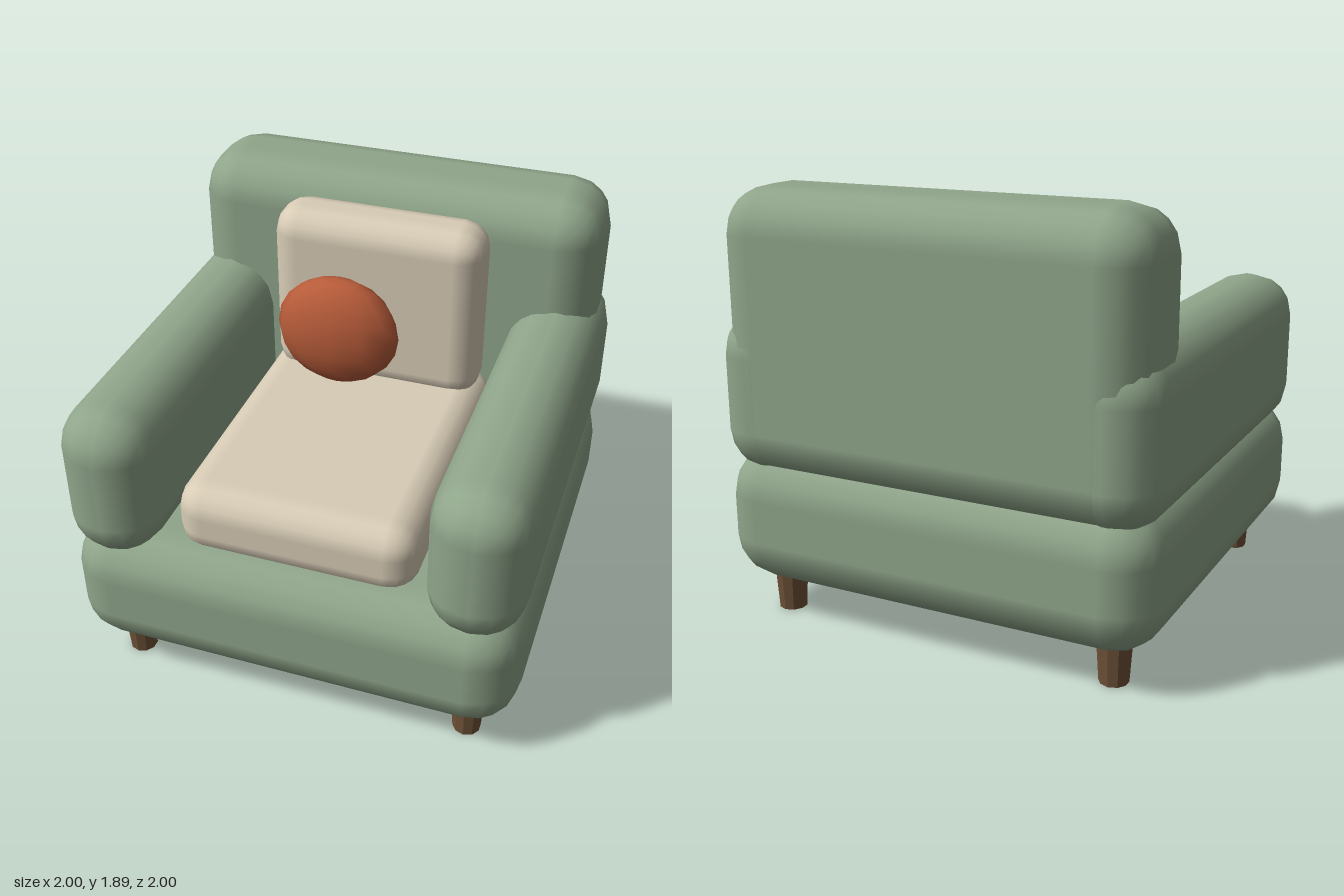
import * as THREE from 'three';
import { RoundedBoxGeometry } from 'three/addons/geometries/RoundedBoxGeometry.js';

const material = (color, flatShading = false) => new THREE.MeshStandardMaterial({ color, flatShading });

// Padded block given by its [min, max] extent on each axis
function pad(name, [x0, x1], [y0, y1], [z0, z1], radius, mat) {
  const mesh = new THREE.Mesh(new RoundedBoxGeometry(x1 - x0, y1 - y0, z1 - z0, 2, radius), mat);
  mesh.position.set((x0 + x1) / 2, (y0 + y1) / 2, (z0 + z1) / 2);
  mesh.name = name;
  return mesh;
}

export function createModel() {
  const group = new THREE.Group();
  group.name = 'armchair';
  const green = material(0x8fa58a);
  const cream = material(0xd8ccb6);
  const orange = material(0xb85c3a);
  const wood = material(0x6f5238, true);

  // Upholstered frame
  group.add(pad('base', [-1, 1], [0.16, 0.765], [-1, 1], 0.21, green));
  group.add(pad('backrest', [-0.955, 0.955], [0.66, 1.89], [-1, -0.47], 0.2, green));
  group.add(pad('leftArm', [0.58, 1], [0.655, 1.38], [-1, 1], 0.2, green));
  group.add(pad('rightArm', [-1, -0.58], [0.655, 1.38], [-1, 1], 0.2, green));

  // Loose cushions
  group.add(pad('seatCushion', [-0.53, 0.53], [0.68, 1.025], [-0.55, 0.85], 0.13, cream));
  group.add(pad('backCushion', [-0.49, 0.49], [0.95, 1.8], [-0.53, -0.235], 0.125, cream));

  // Round throw pillow, a squashed sphere
  const pillow = new THREE.Mesh(new THREE.SphereGeometry(1, 12, 10), orange);
  pillow.name = 'throwPillow';
  pillow.scale.set(0.288, 0.265, 0.135);
  pillow.position.set(-0.135, 1.295, -0.16);
  group.add(pillow);

  // Tapered legs
  const legGeometry = new THREE.CylinderGeometry(0.075, 0.062, 0.2, 10);
  for (const x of [-0.78, 0.78]) {
    for (const z of [-0.78, 0.78]) {
      const leg = new THREE.Mesh(legGeometry, wood);
      leg.name = (z > 0 ? 'front' : 'back') + (x > 0 ? 'Left' : 'Right') + 'Leg';
      leg.position.set(x, 0.1, z);
      group.add(leg);
    }
  }
  return group;
}
